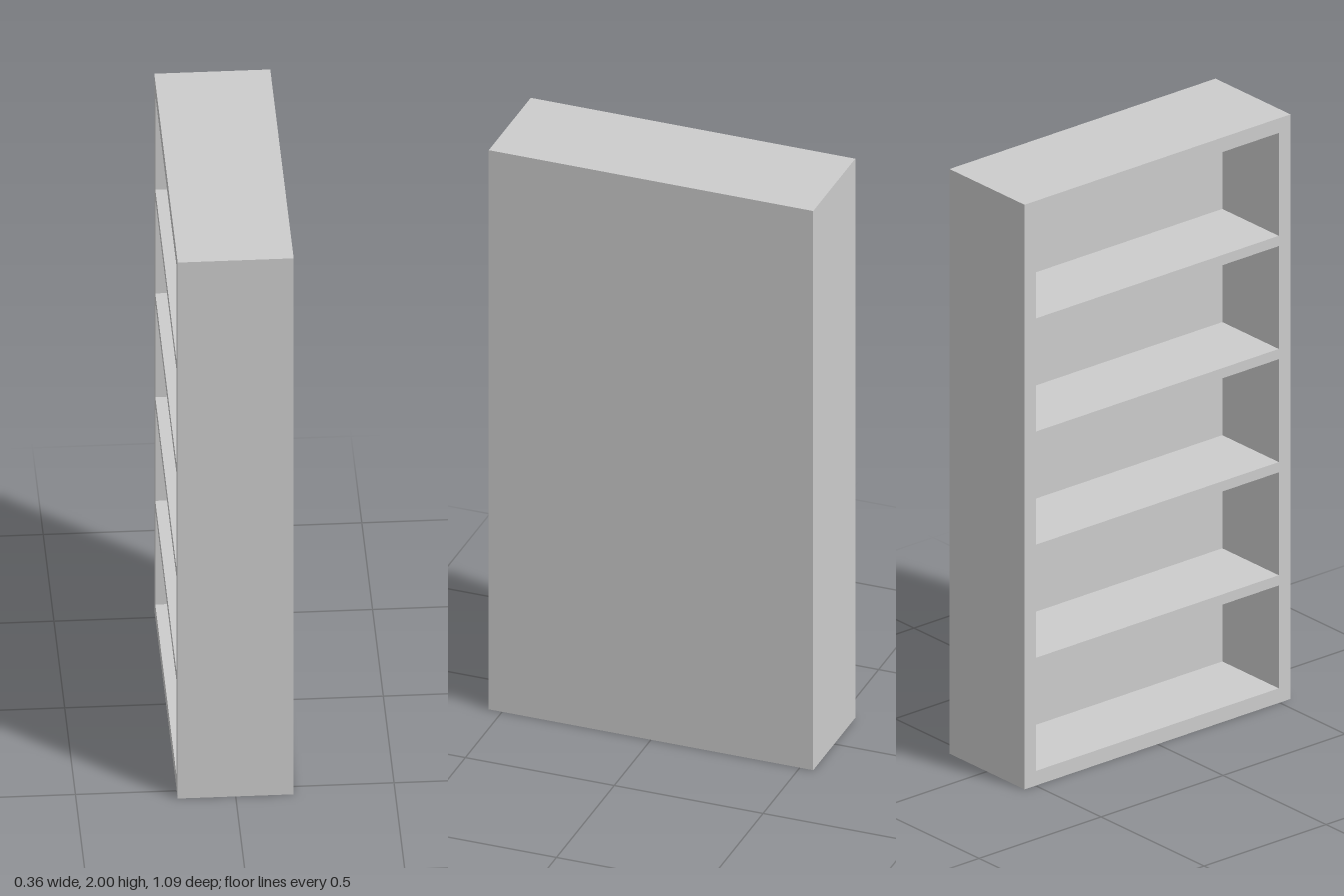
import * as THREE from 'three';

const HEIGHT = 2, LENGTH = 1.09, DEPTH = 0.364;
const BACK = 0.09;      // back panel thickness
const SIDE = 0.048;     // side panel thickness
const END = 0.05;       // top and base thickness
const SHELF = 0.035;    // shelf thickness
const BAYS = 5;

export function createModel() {
  const group = new THREE.Group();
  group.name = 'bookcase';
  const material = new THREE.MeshStandardMaterial({ color: 0xcccccc, flatShading: true });

  const addBoard = (name, sx, sy, sz, x, y, z) => {
    const mesh = new THREE.Mesh(new THREE.BoxGeometry(sx, sy, sz), material);
    mesh.name = name;
    mesh.position.set(x, y, z);
    group.add(mesh);
  };

  // Thick back panel on +x; the bays open towards -x
  addBoard('backPanel', BACK, HEIGHT, LENGTH, DEPTH / 2 - BACK / 2, HEIGHT / 2, 0);

  const inner = DEPTH - BACK;
  const innerX = -BACK / 2;
  const span = LENGTH - 2 * SIDE;

  // Upright side panels
  for (const s of [-1, 1]) {
    addBoard(s > 0 ? 'frontSidePanel' : 'rearSidePanel',
      inner, HEIGHT, SIDE, innerX, HEIGHT / 2, s * (LENGTH - SIDE) / 2);
  }

  // Base and top boards
  addBoard('base', inner, END, span, innerX, END / 2, 0);
  addBoard('top', inner, END, span, innerX, HEIGHT - END / 2, 0);

  // Evenly spaced shelves, flush with the open face
  const bay = (HEIGHT - 2 * END - (BAYS - 1) * SHELF) / BAYS;
  for (let i = 1; i < BAYS; i++) {
    const y = END + i * (bay + SHELF) - SHELF / 2;
    addBoard(`shelf${i}`, inner, SHELF, span, innerX, y, 0);
  }
  return group;
}
